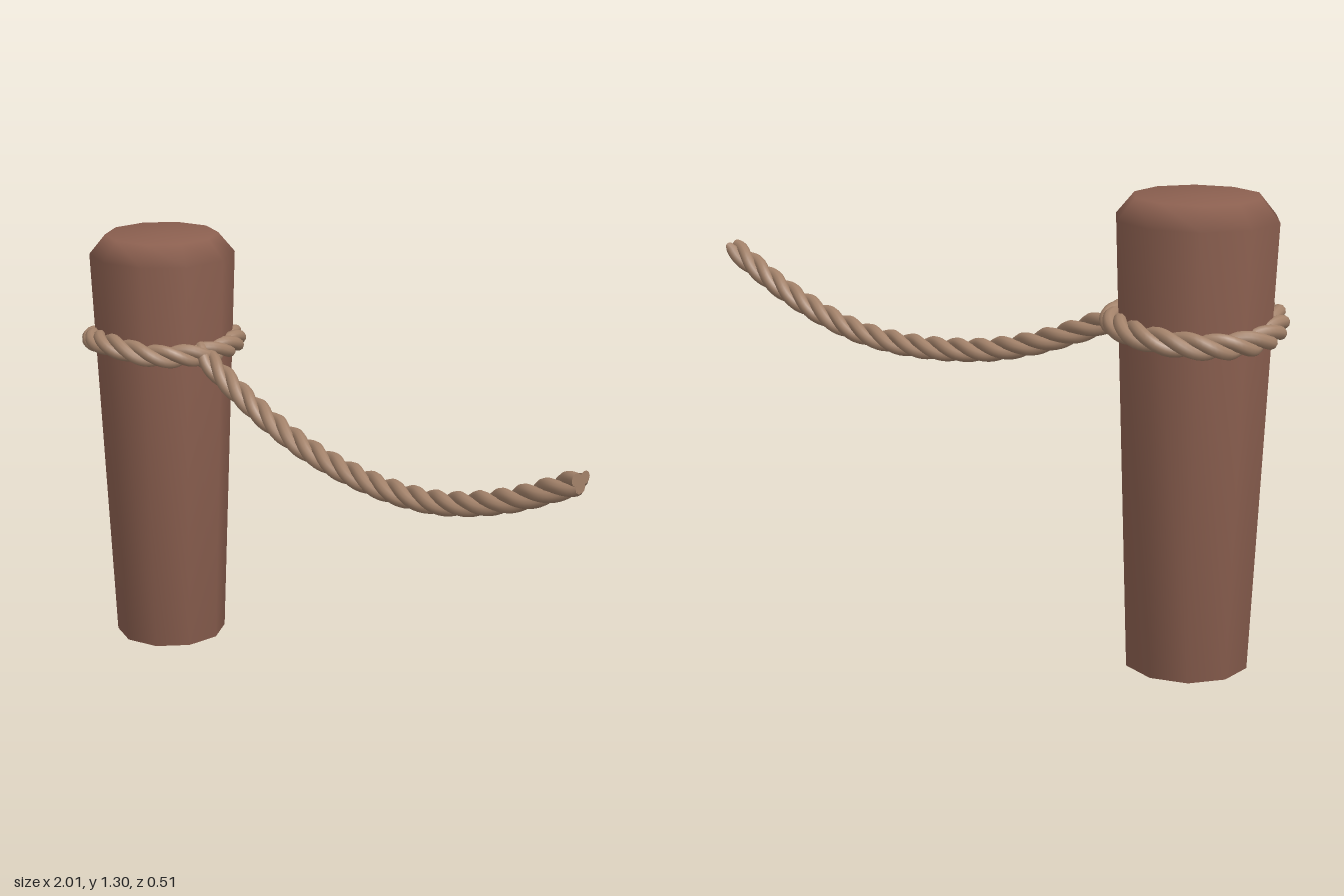
import * as THREE from 'three';

const STRANDS = 3;
const STRAND_RADIUS = 0.0185;
const TWIST_RADIUS = 0.0175;

// One strand winding around a base path
class StrandCurve extends THREE.Curve {
  constructor(path, turns, phase) {
    super();
    Object.assign(this, { path, turns, phase });
  }
  getPoint(t, target = new THREE.Vector3()) {
    const tangent = this.path.getTangentAt(t);
    const side = tangent.clone().cross(new THREE.Vector3(0, 1, 0)).normalize();
    const normal = side.clone().cross(tangent);
    const a = this.phase + t * this.turns * Math.PI * 2;
    return target.copy(this.path.getPointAt(t))
      .addScaledVector(normal, TWIST_RADIUS * Math.cos(a))
      .addScaledVector(side, TWIST_RADIUS * Math.sin(a));
  }
}

// Twisted rope made of several strands
function makeRope(name, path, turns, segments, closed, material) {
  const rope = new THREE.Group();
  rope.name = name;
  for (let i = 0; i < STRANDS; i++) {
    const curve = new StrandCurve(path, turns, (i / STRANDS) * Math.PI * 2);
    const geometry = new THREE.TubeGeometry(curve, segments, STRAND_RADIUS, 10, closed);
    const strand = new THREE.Mesh(geometry, material);
    strand.name = `${name}Strand${i + 1}`;
    rope.add(strand);
    if (closed) continue;
    // Square off the free end at x = 1 and cap it
    const pos = geometry.attributes.position;
    for (let v = 0; v < pos.count; v++) {
      if (v >= segments * 11 || pos.getX(v) > 1) pos.setX(v, 1);
    }
    const end = curve.getPoint(1);
    const cap = new THREE.Mesh(new THREE.CircleGeometry(STRAND_RADIUS, 10), material);
    cap.name = `${name}EndCap${i + 1}`;
    cap.rotation.y = Math.PI / 2;
    cap.position.set(1, end.y, end.z);
    rope.add(cap);
  }
  return rope;
}

export function createModel() {
  const model = new THREE.Group();
  model.name = 'ropePost';
  const wood = new THREE.MeshStandardMaterial({ color: 0x8c6050 });
  wood.name = 'brown wood';
  const hemp = new THREE.MeshStandardMaterial({ color: 0xa3826a });
  hemp.name = 'tan rope';
  const postX = -0.755;

  // Ten-sided tapered post with a chamfered top
  const profile = [[0, 0], [0.173, 0], [0.223, 1.24], [0.173, 1.3], [0, 1.3]]
    .map(([r, y]) => new THREE.Vector2(r, y));
  const post = new THREE.Mesh(new THREE.LatheGeometry(profile, 10), wood);
  post.name = 'post';
  post.position.x = postX;
  model.add(post);

  // Uneven loop tied around the post
  const heights = [0.965, 0.97, 0.99, 0.968, 0.945, 0.942, 0.955, 0.965];
  const loopPoints = heights.map((y, i) => {
    const a = (i / heights.length) * Math.PI * 2;
    return new THREE.Vector3(postX + 0.216 * Math.cos(a), y, 0.222 * Math.sin(a));
  });
  const loopPath = new THREE.CatmullRomCurve3(loopPoints, true);
  model.add(makeRope('loop', loopPath, 6, 120, true, hemp));

  // Sagging rope from the loop to the free end
  const sag = [[-0.56, 0.97], [-0.39, 0.888], [-0.2, 0.815], [0, 0.765], [0.28, 0.74],
    [0.5, 0.757], [0.75, 0.83], [1, 0.945]];
  const sagPath = new THREE.CatmullRomCurve3(sag.map(([x, y]) => new THREE.Vector3(x, y, 0.016)));
  model.add(makeRope('hangingRope', sagPath, 6.5, 150, false, hemp));

  return model;
}
